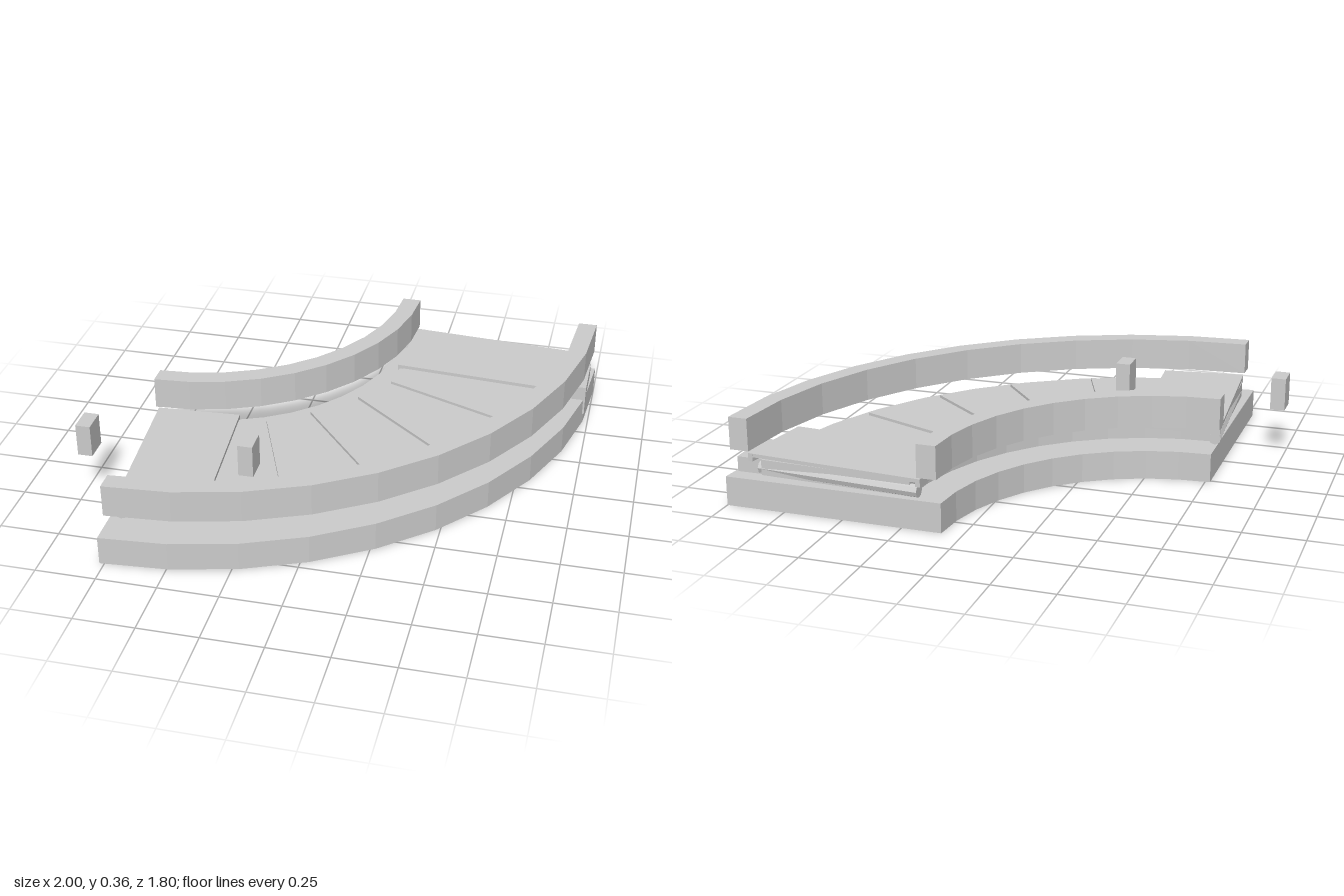
import * as THREE from 'three';

const material = new THREE.MeshStandardMaterial({ color: 0xcccccc, flatShading: true });

function addMesh(parent, name, geometry) {
  const mesh = new THREE.Mesh(geometry, material);
  mesh.name = name;
  parent.add(mesh);
  return mesh;
}

// Upright prism over an [x, z] outline
function prism(outline, y0, y1) {
  const shape = new THREE.Shape(outline.map(([x, z]) => new THREE.Vector2(x, -z)));
  const geometry = new THREE.ExtrudeGeometry(shape, { depth: y1 - y0, bevelEnabled: false });
  return geometry.rotateX(-Math.PI / 2).translate(0, y0, 0);
}

// Points on an arc, angle in degrees from +z towards +x
function arc(cx, cz, r, from, to, steps = 10) {
  return Array.from({ length: steps + 1 }, (_, i) => {
    const a = THREE.MathUtils.degToRad(from + (to - from) * i / steps);
    return [cx + r * Math.sin(a), cz + r * Math.cos(a)];
  });
}

const ring = (cx, cz, r0, r1) => [...arc(cx, cz, r1, 0, 90), ...arc(cx, cz, r0, 90, 0)];

// Outline of a straight strip between two floor points
function strip([ax, az], [bx, bz], width) {
  const d = new THREE.Vector2(bx - ax, bz - az).setLength(width / 2);
  return [[ax - d.y, az + d.x], [bx - d.y, bz + d.x], [bx + d.y, bz - d.x], [ax + d.y, az - d.x]];
}

// Mirror across the diagonal of the bend
const mirror = ([x, z]) => [z + 0.1, x - 0.1];
const same = (p) => p;

function box(parent, name, x0, x1, y0, y1, z0, z1) {
  const geometry = new THREE.BoxGeometry(x1 - x0, y1 - y0, z1 - z0);
  addMesh(parent, name, geometry).position.set((x0 + x1) / 2, (y0 + y1) / 2, (z0 + z1) / 2);
}

export function createModel() {
  const model = new THREE.Group();
  model.name = 'curvedConveyor';

  // Base slab
  addMesh(model, 'base', prism(ring(-0.77, -0.87, 0.855, 1.77), 0, 0.122));

  // Guard rails above the belt
  addMesh(model, 'innerRail', prism(ring(-0.8, -0.9, 0.89, 0.97), 0.227, 0.363));
  addMesh(model, 'outerRail', prism(ring(-0.74, -0.84, 1.65, 1.73), 0.227, 0.363));

  // Belt
  const belt = [...arc(-0.77, -0.87, 1.625, 1, 89), ...arc(-0.77, -0.87, 0.98, 90, 0)];
  addMesh(model, 'belt', prism(belt, 0.135, 0.2));

  // Slats on the upper and lower run of the belt
  const slats = [[[-0.305, 0.04], [-0.095, 0.57]], [[-0.14, -0.07], [0.225, 0.37]]];
  for (const map of [same, mirror]) {
    for (const [a, b] of slats) {
      const outline = strip(map(a), map(b), 0.025);
      addMesh(model, 'upperSlat', prism(outline, 0.2, 0.212));
      addMesh(model, 'lowerSlat', prism(outline, 0.125, 0.135));
    }
  }

  // End covers with side skirts, and the end rollers
  for (const map of [same, mirror]) {
    const end = new THREE.Group();
    end.name = 'beltEnd';
    model.add(end);
    const corners = [[-0.79, 0.07], [-0.735, 0.805], [-0.38, 0.76], [-0.435, 0.05]].map(map);
    addMesh(end, 'endCover', prism(corners, 0.203, 0.218));
    addMesh(end, 'outerSkirt', prism(strip(corners[1], corners[2], 0.02), 0.185, 0.218));
    addMesh(end, 'innerSkirt', prism(strip(corners[0], corners[3], 0.02), 0.185, 0.218));

    const [a, b] = [[-0.765, 0.075], [-0.715, 0.77]].map(map).map(([x, z]) => new THREE.Vector3(x, 0.16, z));
    const roller = addMesh(end, 'endRoller', new THREE.CylinderGeometry(0.026, 0.026, a.distanceTo(b), 8));
    roller.position.lerpVectors(a, b, 0.5);
    roller.quaternion.setFromUnitVectors(new THREE.Vector3(0, 1, 0), b.clone().sub(a).normalize());
  }

  // Drive unit beside the belt
  box(model, 'driveHousing', 0.855, 0.98, 0.12, 0.185, -0.8, -0.575);
  box(model, 'drivePlate', 0.97, 0.982, 0.05, 0.185, -0.8, -0.575);

  // Sensor blocks
  for (const x of [-1, -0.315]) box(model, 'sensorBlock', x, x + 0.062, 0.212, 0.352, 0.375, 0.48);

  return model;
}
